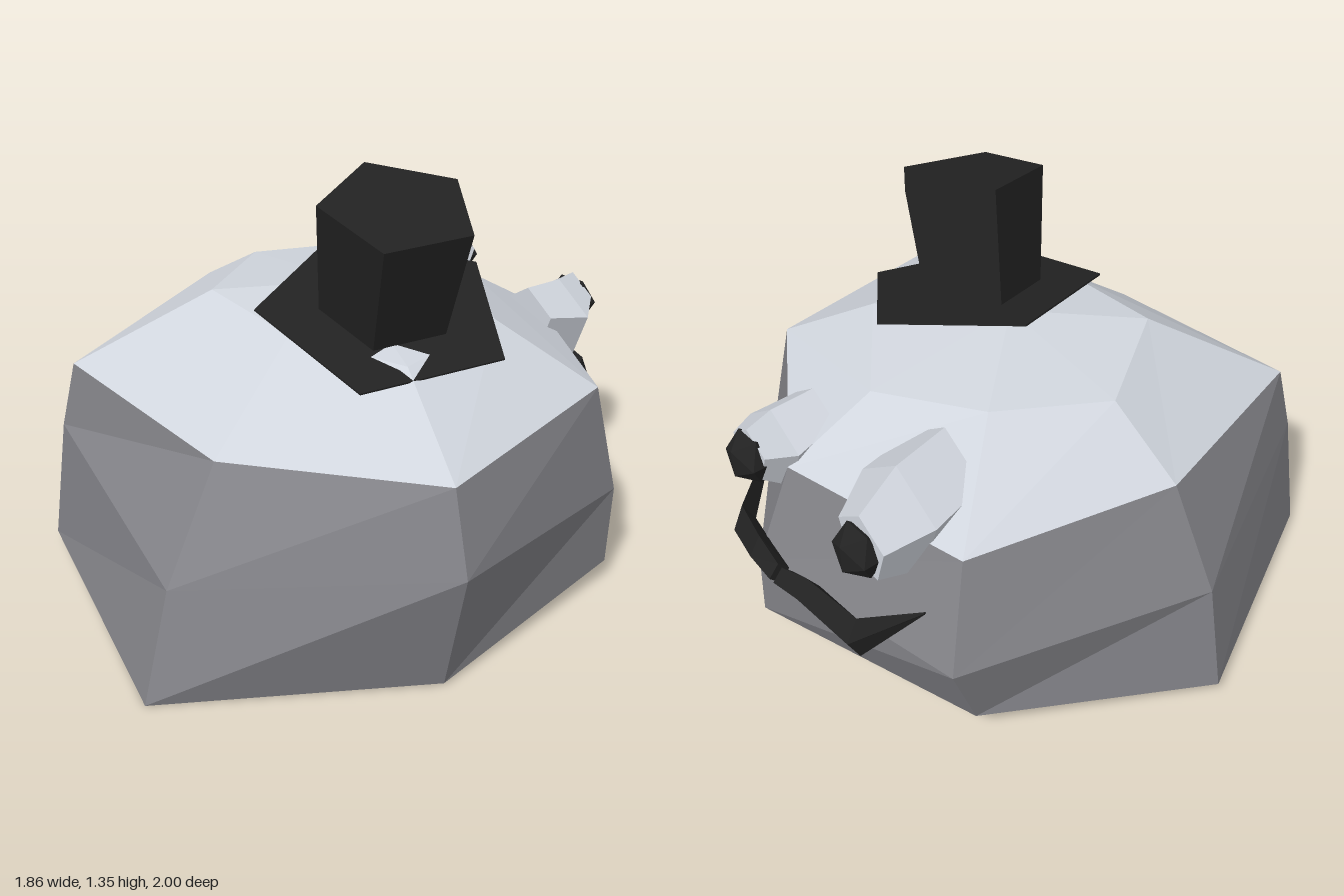
import * as THREE from 'three';

const flat = (color, name) => {
  const m = new THREE.MeshStandardMaterial({ color, flatShading: true, side: THREE.DoubleSide });
  m.name = name;
  return m;
};

// Skin a list of equally long rings of [x, y, z] points.
function loft(rings, capped = false) {
  const pos = [];
  const tri = (a, b, c) => pos.push(...a, ...b, ...c);
  const n = rings[0].length;
  for (let r = 0; r < rings.length - 1; r++) {
    for (let i = 0; i < n; i++) {
      const j = (i + 1) % n;
      const [a, b, c, d] = [rings[r][i], rings[r][j], rings[r + 1][j], rings[r + 1][i]];
      tri(a, b, c);
      tri(a, c, d);
    }
  }
  if (capped) {
    const first = rings[0], last = rings[rings.length - 1];
    for (let i = 1; i < n - 1; i++) {
      tri(first[0], first[i + 1], first[i]);
      tri(last[0], last[i], last[i + 1]);
    }
  }
  const g = new THREE.BufferGeometry();
  g.setAttribute('position', new THREE.Float32BufferAttribute(pos, 3));
  g.computeVertexNormals();
  return g;
}

export function createModel() {
  const group = new THREE.Group();
  const grey = flat(0x818186, 'stone grey');
  const pale = flat(0xd0d5dd, 'pale grey');
  const black = flat(0x222222, 'black');
  const add = (name, geometry, material, parent = group) => {
    const mesh = new THREE.Mesh(geometry, material);
    mesh.name = name;
    parent.add(mesh);
    return mesh;
  };

  // Seven-sided irregular boulder, open underneath
  const base = [[-0.58, 0.04, 0.73], [0.3, 0, 1], [0.82, 0.01, 0.3], [0.81, 0.08, -0.46],
    [0.22, 0.12, -0.94], [-0.56, 0.11, -0.71], [-0.93, 0.05, -0.04]];
  const belly = [[-0.54, 0.46, 0.69], [0.27, 0.33, 0.88], [0.925, 0.45, 0.34], [0.81, 0.35, -0.47],
    [0.2, 0.36, -0.94], [-0.6, 0.4, -0.82], [-0.865, 0.41, -0.04]];
  const shoulder = [[-0.51, 0.68, 0.65], [0.2, 0.63, 0.64], [0.83, 0.69, 0.3], [0.74, 0.7, -0.43],
    [0.18, 0.67, -0.81], [-0.5, 0.7, -0.69], [-0.7, 0.73, -0.05]];
  const crown = [[-0.24, 0.92, 0.29], [0.14, 0.9, 0.3], [0.48, 0.87, 0.14], [0.45, 0.88, -0.27],
    [0.12, 0.85, -0.53], [-0.24, 0.9, -0.37], [-0.44, 0.89, -0.05]];
  const apex = Array(7).fill([0.05, 0.95, -0.03]);
  add('bodySides', loft([base, belly, shoulder]), grey);
  add('bodyTop', loft([shoulder, crown, apex]), pale);

  // Tilted five-sided top hat
  const hat = new THREE.Group();
  hat.name = 'hat';
  hat.position.set(0.245, 0.927, 0);
  hat.quaternion.setFromUnitVectors(new THREE.Vector3(0, 1, 0),
    new THREE.Vector3(0.234, 1, 0.107).normalize());
  group.add(hat);
  add('hatBrim', new THREE.CylinderGeometry(0.4, 0.4, 0.006, 5, 1, false, Math.PI), black, hat);
  add('hatCrown', new THREE.CylinderGeometry(0.24, 0.205, 0.38, 5, 1, false, Math.PI), black, hat)
    .position.y = 0.19;

  // Bulging eyes on the back, each a five-sided loft with a faceted pupil
  const eyeRing = ([x, y, z, r]) => Array.from({ length: 5 }, (_, i) => {
    const a = Math.PI / 2 + i * Math.PI * 0.4;
    return [x + Math.cos(a) * r, y + Math.sin(a) * r, z];
  });
  const eyes = {
    right: [[-0.2, 0.72, -0.5, 0.17], [-0.23, 0.7, -0.7, 0.18], [-0.28, 0.72, -0.87, 0.11]],
    left: [[0.28, 0.71, -0.63, 0.11], [0.29, 0.67, -0.78, 0.14], [0.27, 0.71, -0.88, 0.09]],
  };
  for (const [side, stations] of Object.entries(eyes)) {
    add(side + 'Eye', loft(stations.map(eyeRing), true), pale);
    const [x, y] = stations[2];
    const pupil = add(side + 'Pupil', new THREE.IcosahedronGeometry(0.09, 0), black);
    pupil.position.set(x, y - 0.01, -0.88);
    pupil.scale.z = 0.8;
  }

  // Moustache halves with diamond sections: [x, y, z, half height, half depth]
  const diamond = ([x, y, z, h, d]) =>
    [[x, y + h, z], [x, y, z - d], [x, y - h, z], [x, y, z + d]];
  const halves = {
    left: [[0.04, 0.43, -0.965, 0.04, 0.035], [0.15, 0.44, -0.955, 0.06, 0.04],
      [0.32, 0.4, -0.91, 0.08, 0.04], [0.5, 0.54, -0.66, 0.005, 0.005]],
    right: [[0.02, 0.43, -0.965, 0.04, 0.035], [-0.1, 0.45, -0.955, 0.06, 0.04],
      [-0.3, 0.4, -0.925, 0.08, 0.04], [-0.46, 0.54, -0.8, 0.005, 0.005]],
  };
  for (const [side, stations] of Object.entries(halves)) {
    add(side + 'Moustache', loft(stations.map(diamond), true), black);
  }
  return group;
}
